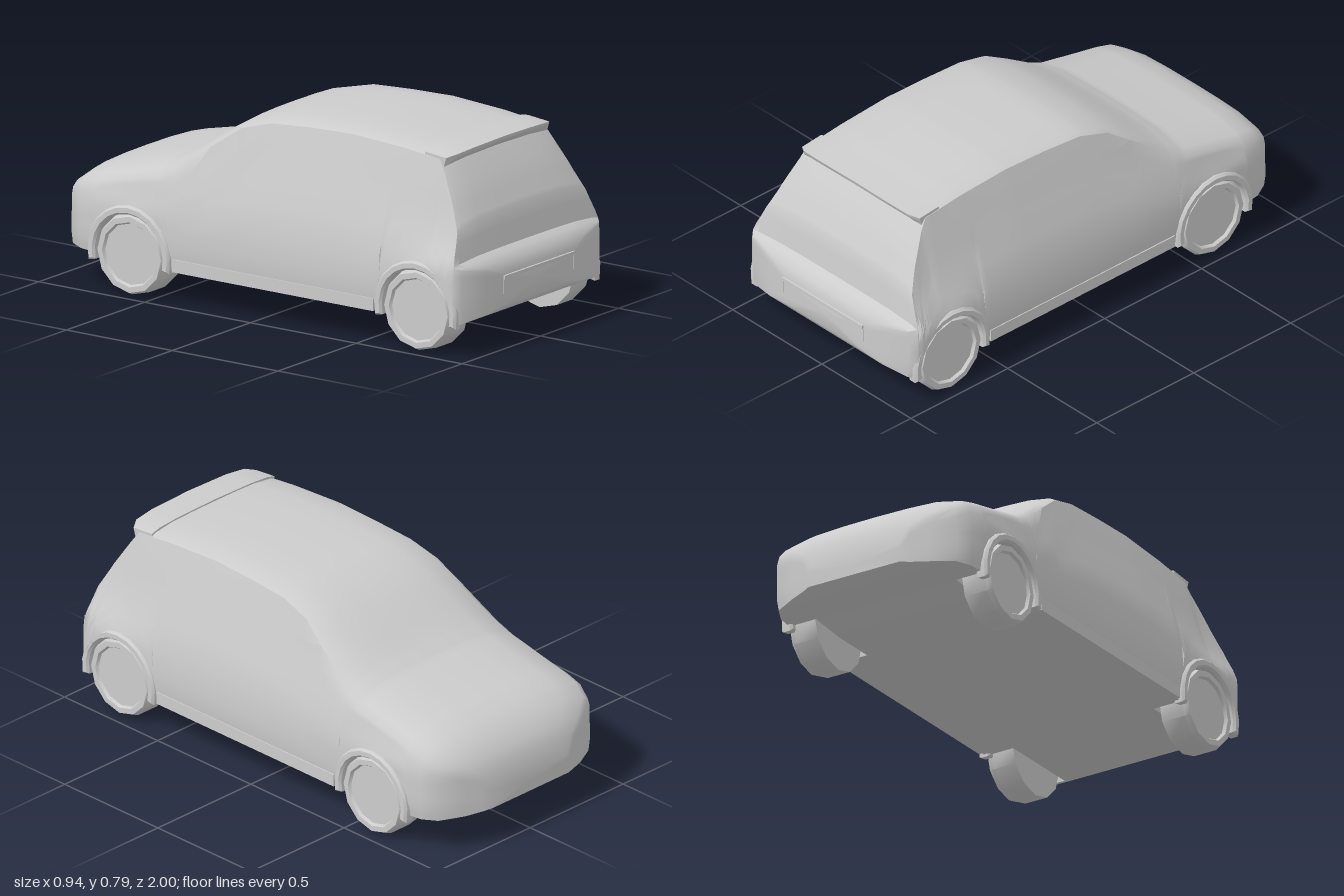
import * as THREE from 'three';
import { toCreasedNormals } from 'three/addons/utils/BufferGeometryUtils.js';

const WHEELS = [-0.605, 0.75]; // axle positions along z
const AXLE_Y = 0.16, ARCH_R = 0.175;

// Body stations, nose to tail: z, roof height, edge drop, upper width, lower width, floor height
const STATIONS = [
  [-1.0, 0.25, 0.02, 0.46, 0.46, 0.16],
  [-0.985, 0.32, 0.03, 0.54, 0.54, 0.155],
  [-0.96, 0.37, 0.04, 0.68, 0.69, 0.15],
  [-0.91, 0.42, 0.05, 0.86, 0.9, 0.147],
  [-0.85, 0.458, 0.055, 0.94, 0.97, 0.143],
  [-0.78, 0.478, 0.06, 0.97, 0.99, 0.14],
  [-0.62, 0.514, 0.065, 0.99, 1, 0.125],
  [-0.49, 0.545, 0.065, 1, 1, 0.125],
  [-0.42, 0.58, 0.06, 1, 1, 0.125],
  [-0.28, 0.67, 0.05, 1, 1, 0.125],
  [-0.15, 0.745, 0.035, 1, 1, 0.125],
  [-0.02, 0.775, 0.028, 1, 1, 0.125],
  [0.16, 0.785, 0.026, 1, 1, 0.125],
  [0.36, 0.79, 0.025, 1, 1, 0.125],
  [0.6, 0.775, 0.025, 0.98, 1, 0.125],
  [0.77, 0.758, 0.028, 0.96, 1.01, 0.125],
  [0.8, 0.715, 0.03, 0.95, 1.02, 0.125],
  [0.86, 0.615, 0.035, 0.96, 1.03, 0.125],
  [0.91, 0.513, 0.035, 0.97, 1.03, 0.125],
  [0.932, 0.375, 0.02, 1, 1.02, 0.125],
  [0.955, 0.36, 0.015, 0.95, 0.96, 0.135],
  [0.98, 0.335, 0.015, 0.7, 0.7, 0.148],
  [0.992, 0.3, 0.015, 0.5, 0.5, 0.17],
];

// Half width of the body side by height
const SIDE = [[0.12, 0.443], [0.19, 0.457], [0.34, 0.456], [0.38, 0.446], [0.465, 0.426],
  [0.53, 0.402], [0.63, 0.375], [0.74, 0.342], [0.8, 0.32]];

// Linear lookup in a table whose first column is the key
function lookup(table, key) {
  let i = 0;
  while (i < table.length - 2 && key > table[i + 1][0]) i++;
  const a = table[i], b = table[i + 1];
  const t = THREE.MathUtils.clamp((key - a[0]) / (b[0] - a[0]), 0, 1);
  return a.map((v, n) => THREE.MathUtils.lerp(v, b[n], t));
}

// Closed skin through rings of equal point count, with capped ends
function loft(rings, crease) {
  const n = rings[0].length, pos = [], idx = [];
  rings.forEach((r) => r.forEach((p) => pos.push(...p)));
  for (let i = 0; i < rings.length - 1; i++) {
    for (let j = 0; j < n; j++) {
      const a = i * n + j, b = i * n + (j + 1) % n, c = b + n, d = a + n;
      idx.push(a, d, c, a, c, b);
    }
  }
  [0, rings.length - 1].forEach((e) => {
    const ring = rings[e], mid = pos.length / 3;
    pos.push(...[0, 1, 2].map((k) => ring.reduce((s, p) => s + p[k], 0) / n));
    for (let j = 0; j < n; j++) {
      const a = e * n + j, b = e * n + (j + 1) % n;
      idx.push(mid, e ? b : a, e ? a : b);
    }
  });
  const g = new THREE.BufferGeometry();
  g.setAttribute('position', new THREE.Float32BufferAttribute(pos, 3));
  g.setIndex(idx);
  return toCreasedNormals(g, crease);
}

// One body cross-section, with wheel wells open to below
function bodyRing(z) {
  const [, top, drop, kTop, kBot, floor] = lookup(STATIONS, z);
  const width = (y) => lookup(SIDE, y)[1]
    * THREE.MathUtils.lerp(kBot, kTop, THREE.MathUtils.smoothstep(y, 0.34, 0.46));
  let low = floor;
  for (const c of WHEELS) {
    const dz = Math.abs(z - c);
    if (dz <= ARCH_R) low = AXLE_Y + Math.sqrt(ARCH_R * ARCH_R - dz * dz);
  }
  const edge = Math.max(top - drop, low + 0.01), xe = width(edge);
  const half = [[xe * 0.35, top - drop * 0.03], [xe * 0.66, top - drop * 0.15], [xe * 0.93, top - drop * 0.6]];
  for (const t of [1, 0.86, 0.7, 0.54, 0.38, 0.2, 0.08, 0]) {
    const y = THREE.MathUtils.lerp(low, edge, t);
    half.push([width(y), y]);
  }
  const xi = Math.min(0.32, width(low) * 0.72);
  half.push([xi, low], [xi, floor]);
  const left = half.map(([x, y]) => [x, y, z]);
  const right = half.map(([x, y]) => [-x, y, z]).reverse();
  return [[0, top, z], ...left, [0, floor, z], ...right];
}

function bodyGeometry() {
  const zs = STATIONS.map((s) => s[0]);
  for (const c of WHEELS) {
    zs.push(c - ARCH_R - 0.001, c + ARCH_R + 0.001);
    for (let i = 0; i <= 12; i++) zs.push(c - ARCH_R * 0.9999 * Math.cos(Math.PI * i / 12));
  }
  for (let z = -0.35; z < 0.56; z += 0.1) zs.push(z);
  zs.sort((a, b) => a - b);
  return loft(zs.filter((z, i) => !i || z - zs[i - 1] > 0.0008).map(bodyRing), 0.75);
}

// Roof spoiler, lofted across the car
function spoilerGeometry() {
  const rings = [[-0.33, 0.022, 0.035], [-0.29, 0.011, 0.01], [-0.2, 0.004, 0.002], [0, 0, 0],
    [0.2, 0.004, 0.002], [0.29, 0.011, 0.01], [0.33, 0.022, 0.035]].map(([x, dy, dz]) => [
    [x, 0.762 - dy, 0.834 - dz], [x, 0.772 - dy, 0.7], [x, 0.725 - dy, 0.7],
    [x, 0.722 - dy, 0.798 - dz * 0.3], [x, 0.748 - dy, 0.83 - dz],
  ]);
  return loft(rings, 0.6);
}

// Wheel with stepped rim; axis along y, outer face up
function wheelGeometry() {
  const profile = [[0, 0], [0.16, 0], [0.16, 0.1], [0.15, 0.122], [0.128, 0.122], [0.121, 0.11], [0, 0.11]];
  const g = new THREE.LatheGeometry(profile.map((p) => new THREE.Vector2(...p)), 12);
  return toCreasedNormals(g, 0.6);
}

// Raised lip around a wheel opening
function archGeometry() {
  const s = new THREE.Shape(), a0 = -0.2, a1 = Math.PI + 0.2, n = 12;
  const pts = [];
  for (let i = 0; i <= n; i++) pts.push([0.187, a0 + (a1 - a0) * i / n]);
  for (let i = n; i >= 0; i--) pts.push([0.168, a0 + (a1 - a0) * i / n]);
  s.setFromPoints(pts.map(([r, a]) => new THREE.Vector2(r * Math.cos(a), r * Math.sin(a))));
  const g = new THREE.ExtrudeGeometry(s, {
    depth: 0.03, bevelEnabled: true, bevelSize: 0.008, bevelThickness: 0.01, bevelSegments: 1,
  });
  g.translate(0, 0, -0.015);
  g.rotateY(Math.PI / 2);
  return toCreasedNormals(g, 0.6);
}

export function createModel() {
  const car = new THREE.Group();
  car.name = 'hatchbackCar';
  const paint = new THREE.MeshStandardMaterial({ color: 0xcccccc });
  paint.name = 'lightGrey';

  const add = (name, geometry, x = 0, y = 0, z = 0) => {
    const m = new THREE.Mesh(geometry, paint);
    m.name = name;
    m.position.set(x, y, z);
    car.add(m);
    return m;
  };

  add('body', bodyGeometry());
  add('spoiler', spoilerGeometry());

  // Wheels, arch lips and sills on both sides
  const wheel = wheelGeometry(), arch = archGeometry();
  const sill = new THREE.BoxGeometry(0.04, 0.05, 0.95);
  for (const side of [1, -1]) {
    const label = side > 0 ? 'left' : 'right';
    WHEELS.forEach((z, i) => {
      const place = i ? 'Rear' : 'Front';
      add(`${label}${place}Wheel`, wheel, side * 0.335, AXLE_Y, z).rotation.z = -side * Math.PI / 2;
      add(`${label}${place}Arch`, arch, side * 0.444, AXLE_Y, z);
    });
    add(`${label}Sill`, sill, side * 0.438, 0.15, 0.073);
    // Sides of the plate recess in the rear bumper
    add(`${label}PlateEdge`, new THREE.BoxGeometry(0.006, 0.06, 0.016), side * 0.226, 0.245, 0.987);
  }
  add('plateLedge', new THREE.BoxGeometry(0.45, 0.014, 0.02), 0, 0.279, 0.99);
  return car;
}
